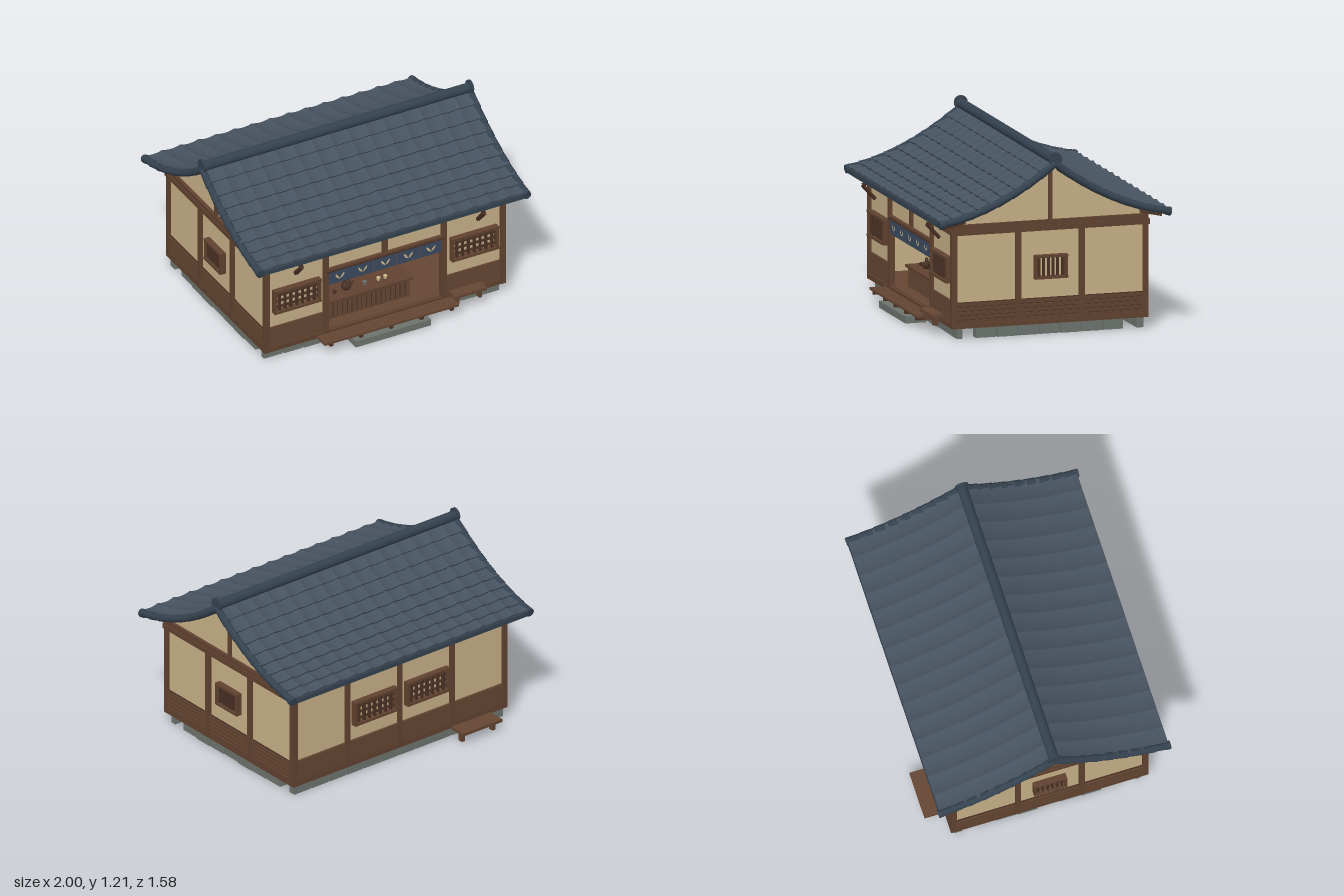
import * as THREE from 'three';

const mat = (name, color, extra = {}) => Object.assign(new THREE.MeshStandardMaterial({ color, ...extra }), { name });

export function createModel() {
  const root = new THREE.Group();
  root.name = 'teaHouse';
  const DS = { side: THREE.DoubleSide };
  const M = {
    tile: mat('roof tile', 0x46525f, { ...DS, flatShading: true }),
    trim: mat('roof trim', 0x34424f),
    wood: mat('timber', 0x60422f),
    dark: mat('dark timber', 0x4a3124),
    panel: mat('wood panel', 0x654633),
    plaster: mat('plaster', 0xc6b088),
    stone: mat('stone', 0x6c736d),
    cloth: mat('curtain cloth', 0x3b4a60, DS),
    cream: mat('cream', 0xcdb98a, DS),
    floor: mat('floor underside', 0x2f2019),
  };

  const add = (name, geo, m, parent = root) => {
    const mesh = new THREE.Mesh(geo, m);
    mesh.name = name;
    parent.add(mesh);
    return mesh;
  };
  const group = (name, parent = root) => {
    const g = new THREE.Group();
    g.name = name;
    parent.add(g);
    return g;
  };
  // box from its limits
  const box = (name, m, x0, x1, y0, y1, z0, z1, parent = root) => {
    const mesh = add(name, new THREE.BoxGeometry(x1 - x0, y1 - y0, z1 - z0), m, parent);
    mesh.position.set((x0 + x1) / 2, (y0 + y1) / 2, (z0 + z1) / 2);
    return mesh;
  };
  // square or round bar between two points
  const bar = (name, m, a, b, r0, r1, sides, parent = root) => {
    const dir = b.clone().sub(a);
    const mesh = add(name, new THREE.CylinderGeometry(r1, r0, dir.length(), sides), m, parent);
    mesh.position.copy(a).add(b).multiplyScalar(0.5);
    mesh.quaternion.setFromUnitVectors(new THREE.Vector3(0, 1, 0), dir.normalize());
    return mesh;
  };

  // curved roof section: d is the distance from the ridge, off the height above the deck
  const ZC = 0.006, EAVE = 0.765;
  const roofPoint = (side, d, off, x = 0) => {
    const slope = -0.769 + 0.802 * d, len = Math.hypot(1, slope);
    return new THREE.Vector3(x, 1.13 - 0.769 * d + 0.401 * d * d + off / len, ZC + side * (d - (off * slope) / len));
  };
  // solid from a z-y outline, extruded along x about a centre
  const slab = (name, m, pts, width, x) => {
    const shape = new THREE.Shape(pts.map(p => new THREE.Vector2(p.z, p.y)));
    const geo = new THREE.ExtrudeGeometry(shape, { depth: width, bevelEnabled: false });
    geo.translate(0, 0, -width / 2).rotateY(-Math.PI / 2);
    add(name, geo, m).position.x = x;
  };
  const arc = (off, dMax, n = 12) => {
    const pts = [];
    for (let i = -n; i <= n; i++) pts.push(roofPoint(i < 0 ? -1 : 1, Math.abs(i) / n * dMax, off));
    return pts;
  };

  // stone footing
  const footing = group('footing');
  for (let i = 0; i < 12; i++) {
    const x = -0.86 + i * 0.1433, j = 0.008 * ((i * 7) % 3);
    box('footingStone', M.stone, x, x + 0.135, 0, 0.075, 0.59, 0.62 + j / 2, footing);
    box('footingStone', M.stone, x, x + 0.135, 0, 0.075, -0.63, -0.575 - j / 2, footing);
  }
  for (const s of [-1, 1]) for (let i = 0; i < 7; i++) {
    const z = -0.49 + i * 0.1425, x = s * (0.825 + 0.004 * (i % 3));
    box('footingStone', M.stone, x - 0.03, x + 0.03, 0, 0.075, z, z + 0.135, footing);
  }
  box('stepStone', M.stone, -0.28, 0.27, 0, 0.045, 0.645, 0.785);
  box('floorUnderside', M.floor, -0.86, 0.86, 0.066, 0.074, -0.645, 0.655);
  box('floor', M.panel, -0.86, 0.86, 0.074, 0.11, -0.64, 0.65);

  // plaster walls
  const walls = group('walls');
  box('backWall', M.plaster, -0.86, 0.86, 0.1, 0.74, -0.64, -0.62, walls);
  box('panelOverOpening', M.plaster, -0.43, 0.43, 0.56, 0.74, 0.635, 0.65, walls);
  for (const s of [-1, 1]) {
    const f = box('frontWall', M.plaster, -0.215, 0.215, 0.1, 0.74, 0.635, 0.65, walls);
    f.position.x = s * 0.645;
    box('sideWall', M.plaster, s * 0.855 - 0.008, s * 0.855 + 0.008, 0.1, 0.74, -0.64, 0.65, walls);
    slab('gableWall', M.plaster, [...arc(-0.02, 0.64), new THREE.Vector3(0, 0.72, ZC + 0.64), new THREE.Vector3(0, 0.72, ZC - 0.64)], 0.016, s * 0.855);
  }

  // timber frame
  const frame = group('timberFrame');
  for (const [z0, z1] of [[0.633, 0.67], [-0.655, -0.617]]) {
    for (const x of [-0.86, -0.43, 0.43, 0.86]) box('post', M.wood, x - 0.019, x + 0.019, 0.07, 0.71, z0, z1, frame);
    box('headBeam', M.wood, -0.885, 0.885, 0.68, 0.715, z0, z1 + 0.002, frame);
    box('wallPlate', M.wood, -0.885, 0.885, 0.715, 0.748, z0 + 0.004, z1 - 0.004, frame);
    box('sill', M.wood, -0.875, 0.875, 0.07, 0.105, z0, z1 - 0.002, frame);
  }
  box('backMiddlePost', M.wood, -0.018, 0.018, 0.07, 0.7, -0.655, -0.617, frame);
  box('frontShortPost', M.wood, -0.018, 0.018, 0.56, 0.7, 0.633, 0.667, frame);
  box('lintel', M.wood, -0.43, 0.43, 0.553, 0.572, 0.63, 0.675, frame);
  for (const s of [-1, 1]) {
    const side = (name, x, w, y0, y1, z0, z1, m = M.wood) => box(name, m, s * x - w / 2, s * x + w / 2, y0, y1, z0, z1, frame);
    for (const z of [0.2235, -0.205]) side('sidePost', 0.868, 0.036, 0.085, 0.69, z - 0.018, z + 0.018);
    side('sideBeam', 0.868, 0.042, 0.68, 0.715, -0.66, 0.675);
    side('sideTopBeam', 0.865, 0.036, 0.715, 0.748, -0.65, 0.665);
    side('sideSill', 0.864, 0.03, 0.07, 0.1, -0.65, 0.665);
    side('gablePost', 0.866, 0.03, 0.7, 1.115, ZC - 0.013, ZC + 0.013);
    side('claddingBack', 0.866, 0.012, 0.1, 0.24, -0.63, 0.64, M.dark);
    for (let i = 0; i < 5; i++) side('claddingBoard', 0.873, 0.018, 0.102 + i * 0.028, 0.123 + i * 0.028, -0.62, 0.635);
    // low boards on the front bays
    const p = box('frontLowPanel', M.panel, -0.198, 0.198, 0.105, 0.25, 0.648, 0.66, frame);
    p.position.x = s * 0.645;
  }
  for (let i = 0; i < 4; i++) {
    const x = -0.645 + i * 0.43;
    box('backLowPanel', M.panel, x - 0.2, x + 0.2, 0.105, 0.25, -0.655, -0.635, frame);
  }

  // lattice window facing +z
  const latticeWindow = (x, y, z, turn, w, h, nv, nh) => {
    const g = group('latticeWindow');
    g.position.set(x, y, z);
    g.rotation.y = turn;
    const a = w / 2, b = h / 2, t = 0.016;
    for (const s of [-1, 1]) {
      box('frameRail', M.wood, -a, a, s * (b - t / 2) - t / 2, s * (b - t / 2) + t / 2, 0, 0.042, g);
      box('frameStile', M.wood, s * (a - t / 2) - t / 2, s * (a - t / 2) + t / 2, -b, b, 0, 0.04, g);
    }
    for (let i = 1; i <= nv; i++) {
      const u = -a + w * i / (nv + 1);
      box('upright', M.dark, u - 0.006, u + 0.006, -b + t, b - t, 0.006, 0.03, g);
    }
    for (let i = 1; i <= nh; i++) {
      const v = -b + h * i / (nh + 1);
      box('crossbar', M.dark, -a + t, a - t, v - 0.005, v + 0.005, 0.008, 0.026, g);
    }
  };
  for (const s of [-1, 1]) {
    latticeWindow(s * 0.647, 0.445, 0.65, 0, 0.34, 0.17, 7, 3);
    latticeWindow(s * 0.215, 0.445, -0.64, Math.PI, 0.35, 0.17, 7, 3);
    latticeWindow(s * 0.863, 0.443, 0.006, s * Math.PI / 2, 0.222, 0.155, 6, 0);
  }

  // roof deck, rafters and rows of curved tiles
  slab('roofDeck', M.dark, [...arc(0, EAVE), ...arc(-0.025, EAVE).reverse()], 1.94, 0);
  const ROWS = 9, COLS = 15, SEG = 6, HALF = 0.98;
  const tileRow = (side, row) => {
    const d0 = Math.max(0, EAVE * row / ROWS - 0.01), d1 = EAVE * (row + 1) / ROWS, pos = [];
    const section = (c, k) => {
      const u = k / SEG, x = -HALF + 2 * HALF * (c + u) / COLS, w = 0.011 * (2 * u - 1) ** 2;
      return [roofPoint(side, d0, 0.002 + w, x), roofPoint(side, d1, 0.016 + w, x), roofPoint(side, d1, -0.002, x)];
    };
    for (let c = 0; c < COLS; c++) for (let k = 0; k < SEG; k++) {
      const a = section(c, k), b = section(c, k + 1);
      for (let i = 0; i < 2; i++) {
        const quad = side > 0 ? [a[i], a[i + 1], b[i + 1], b[i]] : [b[i], b[i + 1], a[i + 1], a[i]];
        for (const q of [0, 1, 2, 0, 2, 3]) pos.push(...quad[q].toArray());
      }
    }
    const geo = new THREE.BufferGeometry();
    geo.setAttribute('position', new THREE.Float32BufferAttribute(pos, 3));
    geo.computeVertexNormals();
    return geo;
  };
  const roof = group('roof');
  for (const side of [-1, 1]) {
    for (let r = 0; r < ROWS; r++) add('tileRow', tileRow(side, r), M.tile, roof);
    const e = roofPoint(side, EAVE, -0.01);
    box('eaveEdge', M.trim, -0.98, 0.98, e.y - 0.018, e.y + 0.012, e.z - 0.008, e.z + 0.008, roof);
    for (let i = 0; i < 24; i++) {
      const x = -0.92 + i * 0.08;
      const g = bar('rafter', M.wood, roofPoint(side, 0.6, -0.038, x), roofPoint(side, 0.74, -0.036, x), 0.015, 0.015, 4, roof);
      g.rotateY(Math.PI / 4);
    }
    // overlapping round tiles down each gable edge
    for (const s of [-1, 1]) {
      for (let i = 0; i < 8; i++)
        bar('vergeTile', M.trim, roofPoint(side, EAVE * i / 8, 0, s * 0.974), roofPoint(side, EAVE * (i + 1) / 8 + 0.008, 0, s * 0.974), 0.022, 0.026, 12, roof);
      bar('vergeEnd', M.trim, roofPoint(side, 0.75, -0.003, s * 0.972), roofPoint(side, 0.779, -0.003, s * 0.972), 0.028, 0.028, 14, roof);
    }
  }
  const V = (x, y, z) => new THREE.Vector3(x, y, z);
  bar('ridge', M.trim, V(-0.98, 1.154, ZC), V(0.98, 1.154, ZC), 0.033, 0.033, 16, roof);
  for (const s of [-1, 1]) bar('ridgeEnd', M.trim, V(s * 0.968, 1.16, ZC), V(s * 0.984, 1.16, ZC), 0.045, 0.045, 20, roof);

  // eave brackets
  for (const s of [-1, 1]) {
    const x = s * 0.665;
    bar('bracketStrut', M.dark, V(x, 0.63, 0.685), V(x, 0.725, 0.77), 0.016, 0.016, 4).rotateY(Math.PI / 4);
    bar('bracketArm', M.dark, V(x, 0.755, 0.66), V(x, 0.725, 0.77), 0.014, 0.014, 4).rotateY(Math.PI / 4);
  }

  // curtain with paired-leaf motif
  const curtain = group('doorCurtain');
  const leaf = new THREE.Shape();
  leaf.moveTo(0, -0.022);
  leaf.quadraticCurveTo(0.03, -0.015, 0.034, 0.02);
  leaf.quadraticCurveTo(0.012, 0.01, 0, -0.022);
  for (let i = 0; i < 5; i++) {
    const x = (i - 2) * 0.166;
    box('curtainPanel', M.cloth, x - 0.08, x + 0.08, 0.45, 0.556, 0.662, 0.667, curtain);
    for (const s of [-1, 1]) {
      const l = add('leaf', new THREE.ShapeGeometry(leaf, 6), M.cream, curtain);
      l.position.set(x, 0.5, 0.669);
      l.scale.x = s;
    }
  }
  bar('curtainRod', M.dark, V(-0.43, 0.553, 0.672), V(0.43, 0.553, 0.672), 0.007, 0.007, 8, curtain);

  // shelves behind the counter
  const shelf = group('shelves');
  box('shelfBack', M.panel, -0.42, 0.03, 0.11, 0.5, 0.2, 0.215, shelf);
  for (const y of [0.15, 0.28, 0.41]) box('shelfBoard', M.wood, -0.42, 0.03, y, y + 0.014, 0.215, 0.3, shelf);
  box('innerPost', M.wood, 0, 0.045, 0.11, 0.68, 0.27, 0.315, shelf);

  // slatted counter
  const counter = group('counter');
  box('counterTop', M.wood, -0.37, 0.25, 0.238, 0.254, 0.4, 0.58, counter);
  box('counterBody', M.dark, -0.355, 0.235, 0.11, 0.238, 0.42, 0.555, counter);
  for (let i = 0; i < 17; i++) box('counterSlat', M.panel, -0.353 + i * 0.035, -0.329 + i * 0.035, 0.11, 0.236, 0.553, 0.564, counter);

  // teapot and cups
  const pot = group('teapot');
  pot.position.set(-0.19, 0.254, 0.49);
  const body = [[0, 0], [0.022, 0], [0.034, 0.02], [0.03, 0.038], [0.014, 0.048], [0.006, 0.05], [0.007, 0.057], [0, 0.06]];
  add('potBody', new THREE.LatheGeometry(body.map(p => new THREE.Vector2(...p)), 18), M.dark, pot);
  add('potHandle', new THREE.TorusGeometry(0.029, 0.004, 6, 16, Math.PI), M.dark, pot).position.y = 0.04;
  bar('potSpout', M.dark, V(0.025, 0.018, 0), V(0.052, 0.044, 0), 0.009, 0.005, 8, pot);
  const cup = (x, y, z, m, r = 0.014) => bar('cup', m, V(x, y, z), V(x, y + r * 1.5, z), r * 0.75, r, 12);
  for (const [x, m] of [[-0.06, M.stone], [0.04, M.cream], [0.09, M.cream], [-0.28, M.dark]]) cup(x, 0.254, 0.5, m);
  for (const y of [0.164, 0.294, 0.424]) for (let i = 0; i < 4; i++)
    cup(-0.37 + i * 0.1, y, 0.265, [M.cream, M.stone, M.dark][(i + Math.round(y * 10)) % 3], 0.016);

  // front porch boards on joists
  const porch = group('porch');
  for (let i = 0; i < 4; i++) box('porchBoard', M.panel, -0.5, 0.48, 0.074, 0.09, 0.672 + i * 0.0265, 0.695 + i * 0.0265, porch);
  for (let i = 0; i < 5; i++) box('joist', M.dark, -0.46 + i * 0.22, -0.435 + i * 0.22, 0.052, 0.074, 0.56, 0.77, porch);

  // benches
  const bench = (name, x0, x1, y0, top, z0, z1) => {
    const g = group(name), zc = (z0 + z1) / 2;
    box('seat', M.panel, x0, x1, top - 0.02, top, z0, z1, g);
    for (const x of [x0 + 0.035, x1 - 0.035]) box('leg', M.wood, x - 0.012, x + 0.012, y0, top - 0.02, zc - 0.018, zc + 0.018, g);
  };
  bench('frontBench', 0.46, 0.695, 0.06, 0.138, 0.672, 0.752);
  bench('backBench', -0.73, -0.41, 0, 0.086, -0.787, -0.665);
  return root;
}
